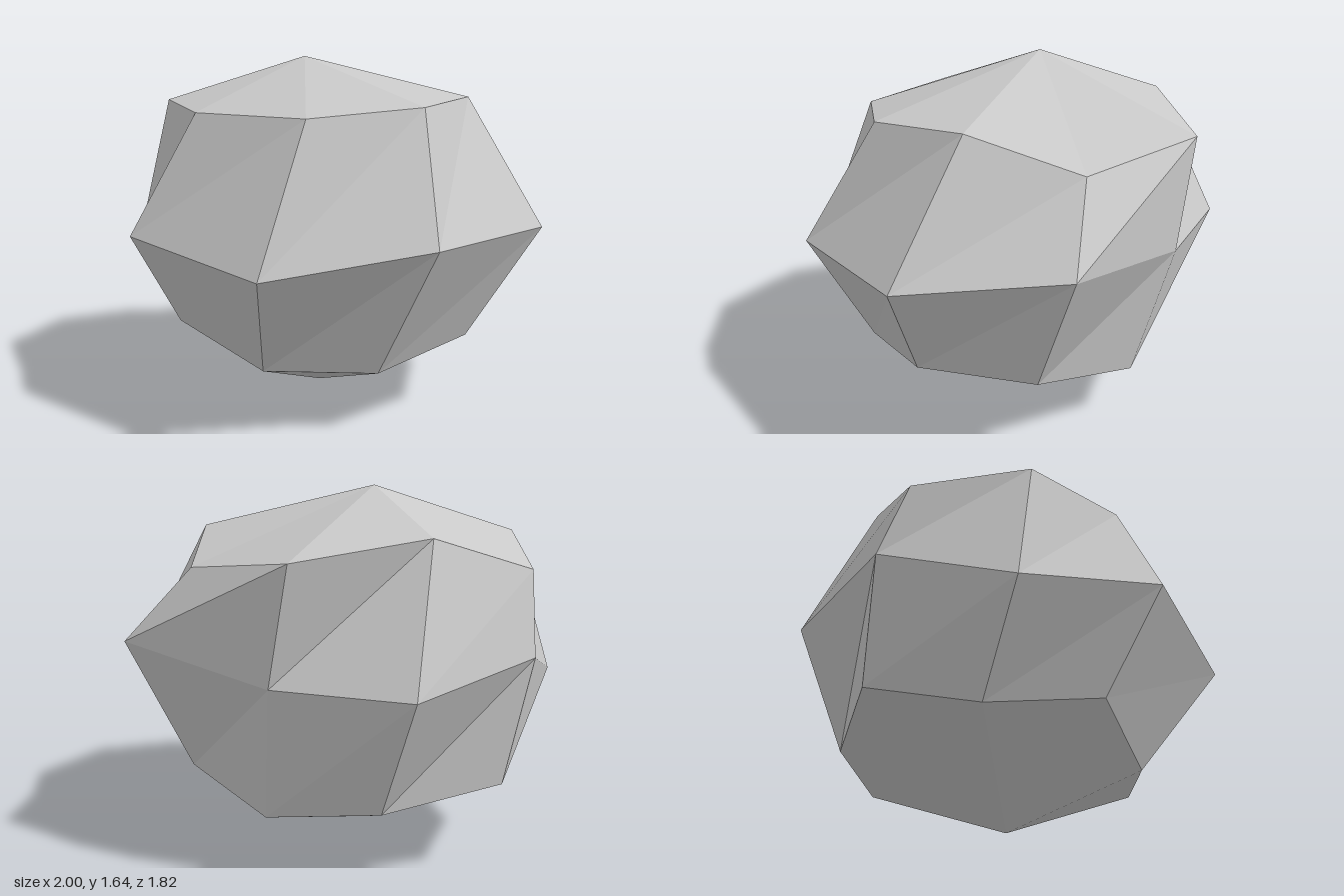
import * as THREE from 'three';

// Three nine-sided cross-sections, running from the left side round past the front
const rings = [
  // shoulder
  [[0.6, 1.45, -0.27], [0.6, 1.42, 0.21], [0.24, 1.38, 0.58], [-0.33, 1.39, 0.59], [-0.73, 1.43, 0.31],
    [-0.95, 1.3, -0.16], [-0.63, 1.44, -0.5], [-0.2, 1.36, -0.91], [0.38, 1.3, -0.71]],
  // waist
  [[1, 0.88, -0.2], [0.8, 0.87, 0.48], [0.22, 0.76, 0.91], [-0.54, 0.85, 0.81], [-0.93, 0.78, 0.32],
    [-1, 0.95, -0.27], [-0.69, 0.85, -0.81], [-0.1, 0.86, -0.9], [0.65, 0.98, -0.84]],
  // foot
  [[0.7, 0.36, -0.07], [0.49, 0.28, 0.4], [0, 0.25, 0.57], [-0.5, 0.4, 0.54], [-0.78, 0.33, 0.12],
    [-0.9, 0.41, -0.34], [-0.49, 0.32, -0.67], [0, 0.26, -0.77], [0.5, 0.36, -0.58]],
];
const peak = [-0.2, 1.64, -0.1];
const base = [-0.08, 0, -0.04];

function boulderGeometry() {
  const positions = [];
  const triangle = (...corners) => corners.forEach((c) => positions.push(...c));
  const sides = rings[0].length;

  for (let i = 0; i < sides; i++) {
    const j = (i + 1) % sides;
    // fans closing the crown and the underside
    triangle(peak, rings[0][j], rings[0][i]);
    triangle(base, rings[2][i], rings[2][j]);
    // bands of facets between neighbouring rings
    for (let r = 0; r < rings.length - 1; r++) {
      const upper = rings[r];
      const lower = rings[r + 1];
      triangle(upper[i], upper[j], lower[j]);
      triangle(upper[i], lower[j], lower[i]);
    }
  }

  const geometry = new THREE.BufferGeometry();
  geometry.setAttribute('position', new THREE.Float32BufferAttribute(positions, 3));
  geometry.computeVertexNormals();
  return geometry;
}

export function createModel() {
  const stone = new THREE.MeshStandardMaterial({ color: 0xc8c8c8 });
  stone.name = 'pale stone grey';
  stone.flatShading = true;

  const boulder = new THREE.Mesh(boulderGeometry(), stone);
  boulder.name = 'boulder';

  const model = new THREE.Group();
  model.name = 'rock';
  model.add(boulder);
  return model;
}
